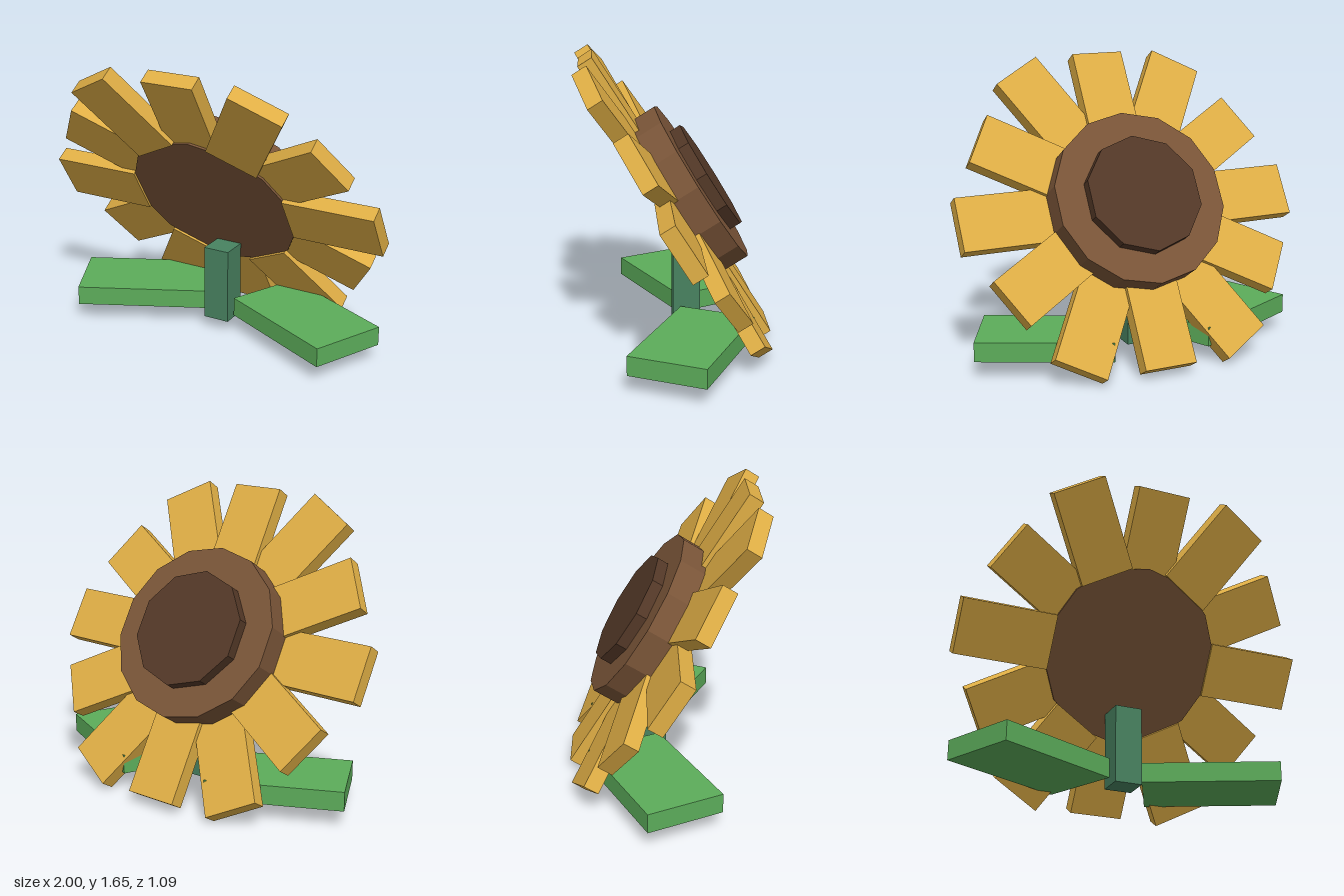
import * as THREE from 'three';

function material(name, color) {
  const m = new THREE.MeshStandardMaterial({ color, flatShading: true });
  m.name = name;
  return m;
}

export function createModel() {
  const petalYellow = material('petalYellow', 0xdfae45);
  const discBrown = material('discBrown', 0x7a5538);
  const coreBrown = material('coreBrown', 0x533827);
  const leafGreen = material('leafGreen', 0x5cac5a);
  const stemGreen = material('stemGreen', 0x488260);

  const model = new THREE.Group();
  model.name = 'flower';

  function add(parent, name, geometry, mat, x, y, z, turn = 0) {
    const mesh = new THREE.Mesh(geometry, mat);
    mesh.name = name;
    mesh.position.set(x, y, z);
    mesh.rotation.y = turn;
    parent.add(mesh);
    return mesh;
  }

  // Flower head: local y points out of the blossom, tilted up and back
  const head = new THREE.Group();
  head.name = 'flowerHead';
  head.position.set(0, 0.833, 0);
  head.rotation.x = -1.011;
  model.add(head);

  // Twelve petals, alternating long and low with short and raised
  const petal = new THREE.BoxGeometry(0.305, 0.09, 0.53);
  for (let i = 0; i < 12; i++) {
    const a = (i * Math.PI) / 6;
    const long = i % 2 === 1;
    const r = long ? 0.735 : 0.669;
    add(head, 'petal', petal, petalYellow,
      Math.sin(a) * r, long ? 0 : 0.026, Math.cos(a) * r, a);
  }

  // Seed disc and its raised core
  add(head, 'seedDisc', new THREE.CylinderGeometry(0.5, 0.5, 0.23, 14), discBrown, 0, 0.083, 0);
  add(head, 'seedCore', new THREE.CylinderGeometry(0.335, 0.335, 0.1, 10), coreBrown, 0, 0.212, 0);

  // Stem
  add(model, 'stem', new THREE.BoxGeometry(0.155, 0.44, 0.155), stemGreen, 0, 0.3, -0.08);

  // Mirrored pair of leaves, swept forward
  const leaf = new THREE.BoxGeometry(0.758, 0.11, 0.443);
  for (const s of [1, -1]) {
    add(model, s > 0 ? 'leftLeaf' : 'rightLeaf', leaf, leafGreen, s * 0.5325, 0.165, -0.0825, -s * 0.443);
  }

  return model;
}
